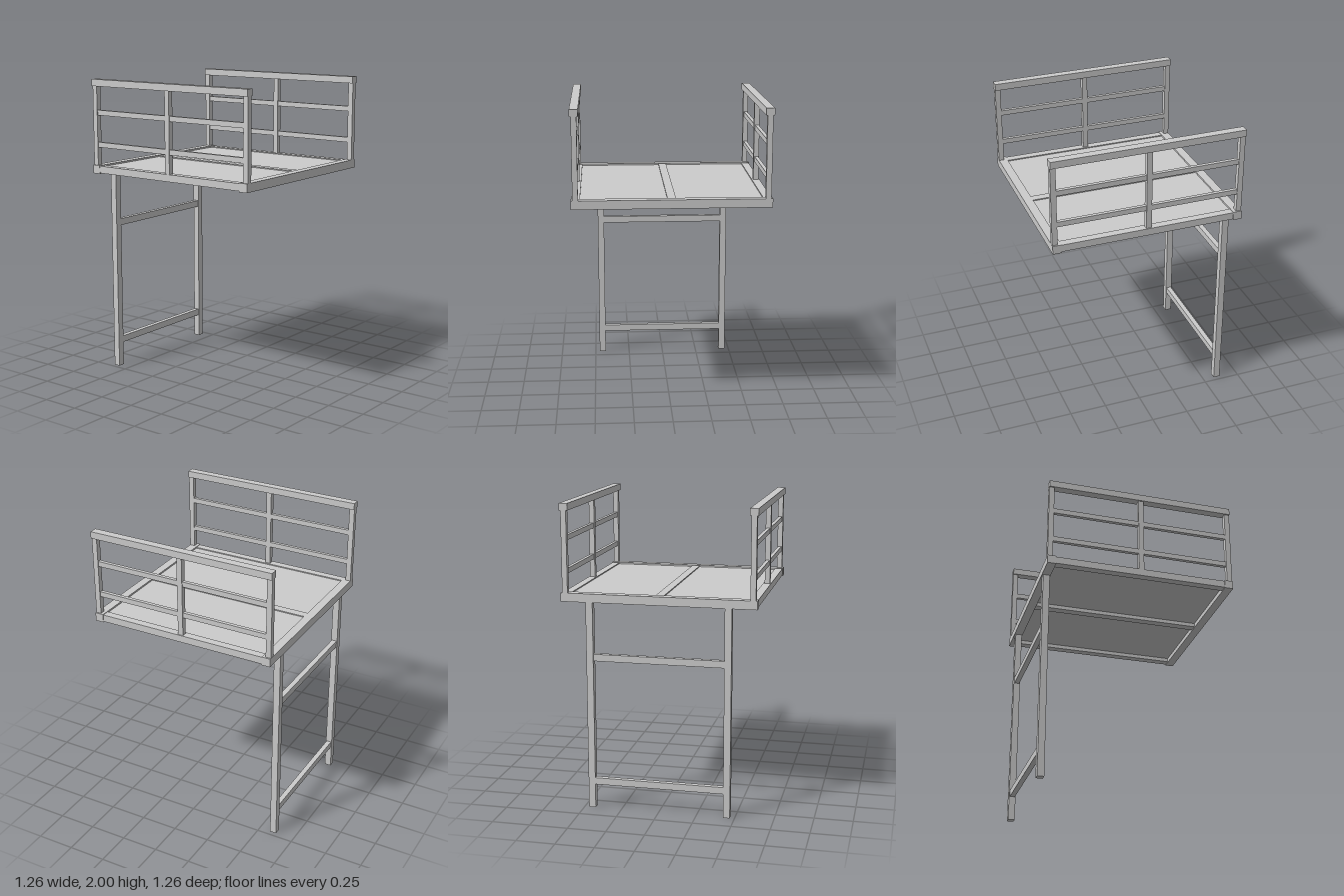
import * as THREE from 'three';

export function createModel() {
  const model = new THREE.Group();
  const material = new THREE.MeshStandardMaterial({ color: 0xcccccc, flatShading: true });

  // Box given by its extents along each axis
  function bar(parent, name, [x0, x1], [y0, y1], [z0, z1]) {
    const mesh = new THREE.Mesh(new THREE.BoxGeometry(x1 - x0, y1 - y0, z1 - z0), material);
    mesh.position.set((x0 + x1) / 2, (y0 + y1) / 2, (z0 + z1) / 2);
    mesh.name = name;
    parent.add(mesh);
  }
  const around = (centre, size) => [centre - size / 2, centre + size / 2];

  // Platform frame with a central joist
  const platform = new THREE.Group();
  platform.name = 'platform';
  model.add(platform);
  bar(platform, 'frontBeam', [-0.63, 0.63], [1.377, 1.433], [0.573, 0.63]);
  bar(platform, 'backBeam', [-0.63, 0.63], [1.377, 1.433], [-0.63, -0.573]);
  bar(platform, 'centreJoist', [-0.027, 0.027], [1.382, 1.429], [-0.573, 0.573]);

  for (const side of [-1, 1]) {
    const tag = side > 0 ? 'left' : 'right';
    bar(platform, tag + 'Beam', around(side * 0.6, 0.052), [1.382, 1.429], [-0.573, 0.573]);
    // Deck panel set just below the frame top
    bar(platform, tag + 'DeckPanel', around(side * 0.3005, 0.547), [1.408, 1.422], [-0.573, 0.573]);

    // Guard rail: three posts, two slats and a handrail
    const rail = new THREE.Group();
    rail.name = tag + 'GuardRail';
    model.add(rail);
    const x = side * 0.602;
    for (const z of [-0.612, 0, 0.612])
      bar(rail, 'railPost', around(x, 0.035), [1.425, 1.96], around(z, 0.035));
    for (const y of [1.569, 1.781])
      for (const z of [-1, 1])
        bar(rail, 'railSlat', around(x, 0.024), around(y, 0.034), around(z * 0.306, 0.577));
    bar(rail, 'handrail', around(x, 0.054), [1.955, 2], [-0.63, 0.63]);

    // Back leg
    bar(model, tag + 'Leg', around(side * 0.4475, 0.045), [0, 1.378], [-0.622, -0.578]);
  }

  // Rungs joining the legs
  for (const y of [0.182, 1.017])
    bar(model, 'legCrossbar', [-0.426, 0.426], around(y, 0.045), around(-0.6, 0.034));

  return model;
}
